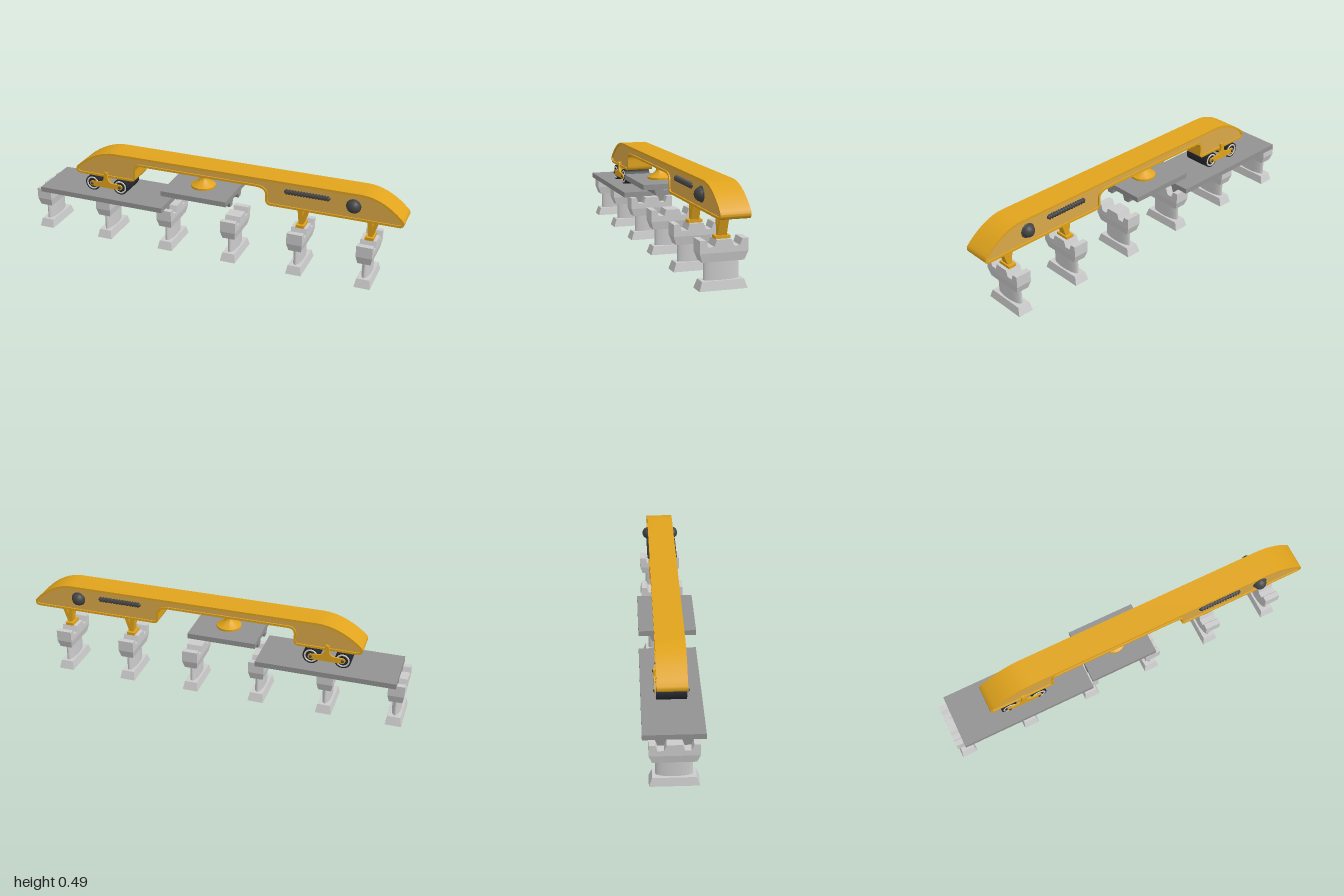
import * as THREE from 'three';
import { toCreasedNormals } from 'three/addons/utils/BufferGeometryUtils.js';

const mat = (color) => new THREE.MeshStandardMaterial({ color });
const yellow = mat(0xe0a31c), panelYellow = mat(0xdaa848), dark = mat(0x444444);
const tyre = mat(0x23262c), deckGrey = mat(0x929292), grey = mat(0xcccccc);

function add(parent, name, geo, material, x = 0, y = 0, z = 0) {
  const m = new THREE.Mesh(geo, material);
  m.name = name;
  m.position.set(x, y, z);
  parent.add(m);
  return m;
}

function group(parent, name, x = 0, y = 0, z = 0) {
  const g = new THREE.Group();
  g.name = name;
  g.position.set(x, y, z);
  parent.add(g);
  return g;
}

const poly = (pts) => new THREE.Shape(pts.map((p) => new THREE.Vector2(p[0], p[1])));

// Prism centred on z = 0
function prism(shape, depth) {
  const g = new THREE.ExtrudeGeometry(shape, { depth, bevelEnabled: false, curveSegments: 10 });
  g.translate(0, 0, -depth / 2);
  return toCreasedNormals(g, 0.6);
}

// Prism whose outline lies in (z, y) and which runs along x
const prismX = (shape, length) => prism(shape, length).rotateY(-Math.PI / 2);

// Rectangular block with a different footprint at bottom and top
function frustum(bx, bz, tx, tz, y0, y1) {
  const g = new THREE.BoxGeometry(2, y1 - y0, 2);
  const p = g.attributes.position;
  for (let i = 0; i < p.count; i++) {
    const top = p.getY(i) > 0;
    p.setX(i, p.getX(i) * (top ? tx : bx));
    p.setZ(i, p.getZ(i) * (top ? tz : bz));
  }
  g.translate(0, (y0 + y1) / 2, 0);
  const flat = g.toNonIndexed();
  flat.computeVertexNormals();
  return flat;
}

// Move a counter-clockwise outline inwards
function inset(pts, d) {
  const n = pts.length;
  return pts.map((p, i) => {
    const a = p.clone().sub(pts[(i + n - 1) % n]).normalize();
    const b = pts[(i + 1) % n].clone().sub(p).normalize();
    const na = new THREE.Vector2(-a.y, a.x), nb = new THREE.Vector2(-b.y, b.x);
    const s = na.add(nb);
    return p.clone().addScaledVector(s, (2 * d) / Math.max(s.lengthSq(), 1));
  });
}

// Long beam body: raised rim on both sides around a recessed panel
function addBeam(root) {
  const s = new THREE.Shape();
  s.moveTo(-0.745, 0.345);
  s.lineTo(-0.45, 0.345);
  s.quadraticCurveTo(-0.425, 0.345, -0.425, 0.37);
  s.lineTo(-0.425, 0.405);
  s.quadraticCurveTo(-0.425, 0.437, -0.393, 0.437);
  s.lineTo(0.245, 0.437);
  s.quadraticCurveTo(0.295, 0.435, 0.295, 0.4);
  s.lineTo(0.295, 0.375);
  s.quadraticCurveTo(0.295, 0.345, 0.325, 0.345);
  s.lineTo(0.975, 0.345);
  s.bezierCurveTo(0.995, 0.345, 1.005, 0.365, 0.99, 0.383);
  s.bezierCurveTo(0.945, 0.43, 0.87, 0.487, 0.78, 0.487);
  s.lineTo(-0.54, 0.487);
  s.bezierCurveTo(-0.63, 0.487, -0.715, 0.435, -0.765, 0.388);
  s.bezierCurveTo(-0.785, 0.368, -0.77, 0.345, -0.745, 0.345);
  const pts = s.getPoints(10);
  if (pts[0].distanceTo(pts[pts.length - 1]) < 1e-6) pts.pop();
  const inner = inset(pts, 0.011);
  const rim = new THREE.Shape(pts);
  rim.holes.push(new THREE.Path(inner));
  const g = group(root, 'beam');
  add(g, 'beamShell', prism(rim, 0.142), yellow);
  add(g, 'sidePanels', prism(new THREE.Shape(inner), 0.128), panelYellow);

  for (const side of [1, -1]) {
    // Domed lamp in a ring
    const dome = add(g, 'sideDome', new THREE.SphereGeometry(0.034, 24, 16), dark, 0.745, 0.417, side * 0.066);
    dome.rotation.x = Math.PI / 2;
    add(g, 'domeRing', new THREE.TorusGeometry(0.034, 0.004, 8, 28), dark, 0.745, 0.417, side * 0.066);
    // Ribbed horizontal bar
    const bar = add(g, 'ribbedBar', new THREE.CapsuleGeometry(0.011, 0.214, 6, 14), dark, 0.51, 0.435, side * 0.066);
    bar.rotation.z = Math.PI / 2;
    for (let i = 0; i < 15; i++) {
      const rib = add(g, 'barRib', new THREE.TorusGeometry(0.011, 0.004, 6, 14), dark, 0.405 + i * 0.015, 0.435, side * 0.066);
      rib.rotation.y = Math.PI / 2;
    }
  }
}

// Pier: flared foot, oval column, notched cap
function addPier(root, x) {
  const g = group(root, 'pier', x);
  add(g, 'pierFoot', frustum(0.041, 0.115, 0.033, 0.1, 0, 0.043), grey);
  const column = add(g, 'pierColumn', new THREE.CylinderGeometry(1, 1, 0.09, 32), grey, 0, 0.086, 0);
  column.scale.set(0.023, 1, 0.085);
  add(g, 'pierCapLower', frustum(0.033, 0.1, 0.041, 0.115, 0.13, 0.172), grey);
  const half = [[0.115, 0.172], [0.115, 0.231], [0.086, 0.231], [0.075, 0.2], [0.046, 0.2], [0.035, 0.231]];
  const mirrored = half.map(([z, y]) => [-z, y]).reverse();
  add(g, 'pierCapUpper', prismX(poly([...half, ...mirrored]), 0.082), grey);
}

// Bridge deck: slab on two tapered girders
function addDeck(root, x0, x1, y) {
  const g = group(root, 'deck', (x0 + x1) / 2, y);
  add(g, 'deckSlab', new THREE.BoxGeometry(x1 - x0, 0.027, 0.286), deckGrey, 0, 0.0135, 0);
  for (const s of [1, -1]) {
    const girder = poly([[s * 0.086, 0], [s * 0.035, 0], [s * 0.046, -0.03], [s * 0.075, -0.03]]);
    add(g, 'deckGirder', prismX(girder, x1 - x0), deckGrey);
  }
}

// Two rollers held by side frames
function addBogie(root) {
  const g = group(root, 'bogie', -0.597, 0.3);
  for (const x of [-0.081, 0.081]) {
    const roller = add(g, 'roller', new THREE.CylinderGeometry(0.042, 0.042, 0.142, 32), tyre, x);
    roller.rotation.x = Math.PI / 2;
    for (const side of [1, -1]) {
      add(g, 'wheelRim', new THREE.TorusGeometry(0.031, 0.005, 8, 28), grey, x, 0, side * 0.07);
      const bolt = add(g, 'axleBolt', new THREE.SphereGeometry(0.008, 14, 10), dark, x, 0, side * 0.079);
      bolt.scale.z = 0.8;
    }
  }
  const f = new THREE.Shape();
  f.moveTo(-0.081, -0.014);
  f.lineTo(0.081, -0.014);
  f.absarc(0.081, 0, 0.014, -Math.PI / 2, Math.PI / 2, false);
  f.lineTo(0.035, 0.016);
  f.quadraticCurveTo(0.013, 0.022, 0.011, 0.045);
  f.lineTo(0.011, 0.062);
  f.absarc(0, 0.062, 0.011, 0, Math.PI, false);
  f.lineTo(-0.011, 0.045);
  f.quadraticCurveTo(-0.013, 0.022, -0.035, 0.016);
  f.lineTo(-0.081, 0.014);
  f.absarc(-0.081, 0, 0.014, Math.PI / 2, Math.PI * 1.5, false);
  for (const side of [1, -1]) add(g, 'bogieFrame', prism(f, 0.01), yellow, 0, 0, side * 0.074);
  add(g, 'bogieMount', new THREE.BoxGeometry(0.022, 0.05, 0.142), yellow, 0, 0.048, 0);
}

// V-shaped support leg standing on a foot plate
function addLeg(root, x) {
  const g = group(root, 'supportLeg', x);
  const rear = poly([[-0.02, 0.355], [-0.007, 0.243], [0.01, 0.243], [0.012, 0.355]]);
  const front = poly([[-0.003, 0.243], [0.015, 0.243], [0.052, 0.355], [0.03, 0.355]]);
  add(g, 'rearStrut', prism(rear, 0.042), yellow);
  add(g, 'frontStrut', prism(front, 0.042), yellow);
  add(g, 'legFoot', new THREE.BoxGeometry(0.044, 0.015, 0.072), yellow, 0.002, 0.237, 0);
}

// Round hanger carrying the lifted deck
function addHanger(root) {
  const profile = [[0, 0.355], [0.064, 0.355], [0.064, 0.367], [0.05, 0.374], [0.034, 0.386],
    [0.022, 0.396], [0.018, 0.41], [0.02, 0.422], [0.028, 0.43], [0.028, 0.44]];
  const lathe = new THREE.LatheGeometry(profile.map((p) => new THREE.Vector2(p[0], p[1])), 36);
  add(root, 'hanger', toCreasedNormals(lathe, 0.7), yellow, -0.067);
}

export function createModel() {
  const root = new THREE.Group();
  root.name = 'bridgeLauncher';
  const pitch = 0.3565, firstPier = -0.959;
  for (let i = 0; i < 6; i++) addPier(root, firstPier + i * pitch);
  addDeck(root, firstPier, firstPier + 2 * pitch, 0.23);
  addDeck(root, firstPier + 2 * pitch, firstPier + 3 * pitch, 0.33);
  addBeam(root);
  addBogie(root);
  addHanger(root);
  for (const i of [4, 5]) addLeg(root, firstPier + i * pitch);
  return root;
}
